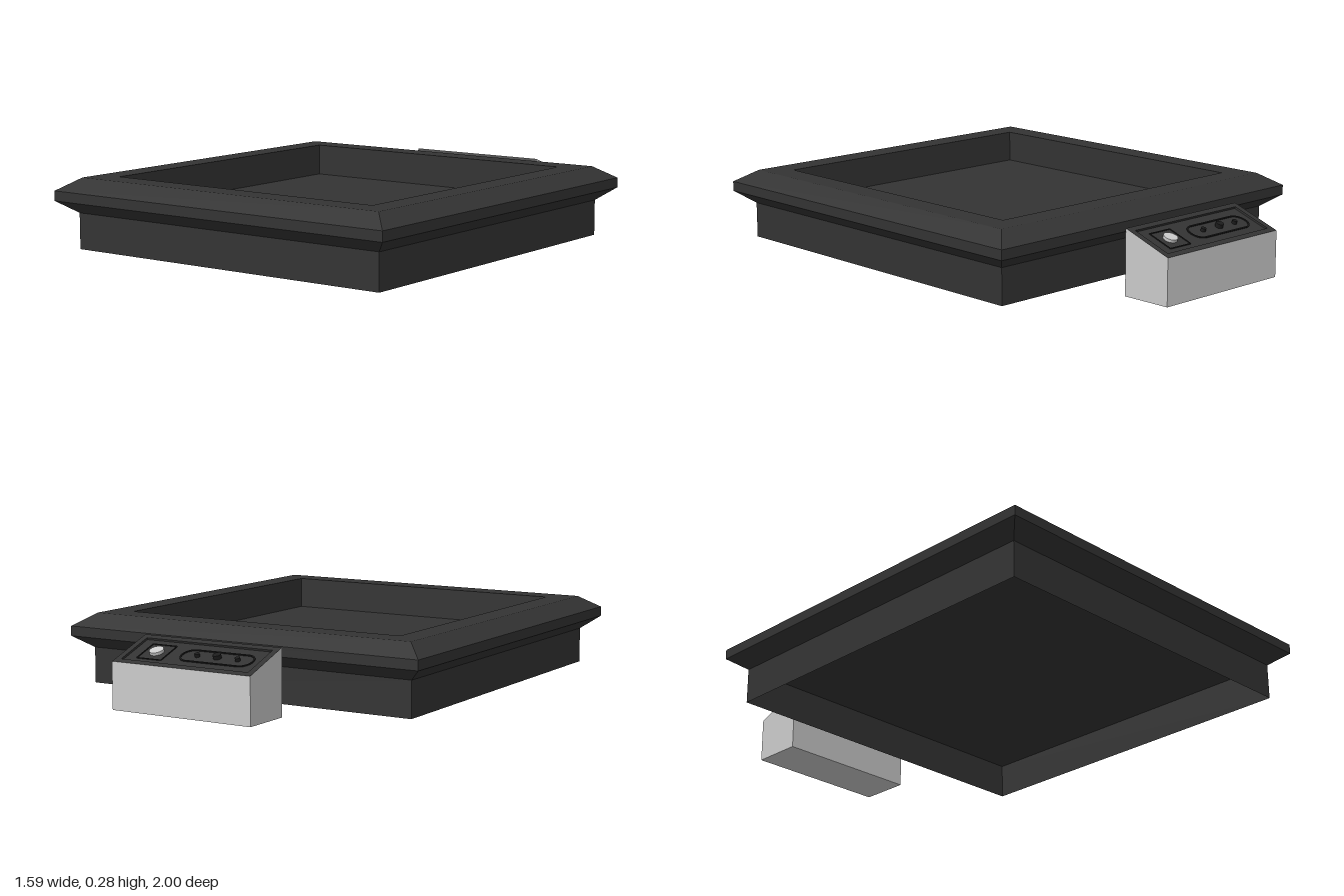
import * as THREE from 'three';

const dark = new THREE.MeshStandardMaterial({ color: 0x333333, flatShading: true, side: THREE.DoubleSide });
const black = new THREE.MeshStandardMaterial({ color: 0x1c1c1c });
const grey = new THREE.MeshStandardMaterial({ color: 0xcccccc });

function add(parent, name, geometry, material, x = 0, y = 0, z = 0) {
  const mesh = new THREE.Mesh(geometry, material);
  mesh.name = name;
  mesh.position.set(x, y, z);
  parent.add(mesh);
  return mesh;
}

// Mitred rectangular loft; each section is [halfWidth, halfDepth, y]
function rectLoft(sections) {
  const pos = [];
  const corner = ([w, d, y], k) => [[w, y, d], [w, y, -d], [-w, y, -d], [-w, y, d]][k % 4];
  for (let i = 0; i < sections.length - 1; i++) {
    for (let k = 0; k < 4; k++) {
      const a = corner(sections[i], k), b = corner(sections[i], k + 1);
      const c = corner(sections[i + 1], k + 1), d = corner(sections[i + 1], k);
      pos.push(...a, ...b, ...c, ...a, ...c, ...d);
    }
  }
  const g = new THREE.BufferGeometry();
  g.setAttribute('position', new THREE.Float32BufferAttribute(pos, 3));
  g.computeVertexNormals();
  return g;
}

function roundRect(target, w, h, r) {
  const x = w / 2 - r, y = h / 2 - r;
  target.absarc(x, y, r, 0, Math.PI / 2);
  target.absarc(-x, y, r, Math.PI / 2, Math.PI);
  target.absarc(-x, -y, r, Math.PI, Math.PI * 1.5);
  target.absarc(x, -y, r, Math.PI * 1.5, Math.PI * 2);
  target.closePath();
  return target;
}

// Flat ring lying in xz, its top at y = 0
function ring(w, h, r, border, innerR, thick) {
  const s = roundRect(new THREE.Shape(), w, h, r);
  s.holes.push(roundRect(new THREE.Path(), w - border * 2, h - border * 2, innerR));
  return new THREE.ExtrudeGeometry(s, { depth: thick, bevelEnabled: false, curveSegments: 10 })
    .rotateX(-Math.PI / 2).translate(0, -thick, 0);
}

function makeTray() {
  const tray = new THREE.Group();
  tray.name = 'tray';
  tray.position.z = 0.18;
  // Skirt, bevelled rim, inner wall and the ledge underneath
  add(tray, 'trayFrame', rectLoft([
    [0.73, 0.75, 0], [0.73, 0.75, 0.145], [0.795, 0.82, 0.195], [0.795, 0.82, 0.235],
    [0.72, 0.74, 0.285], [0.618, 0.638, 0.285], [0.618, 0.638, 0.155], [0.73, 0.75, 0.145],
  ]), dark);
  add(tray, 'trayFloor', new THREE.PlaneGeometry(1.236, 1.276).rotateX(-Math.PI / 2), dark, 0, 0.155, 0);
  return tray;
}

function makeControlBox() {
  const box = new THREE.Group();
  box.name = 'controlBox';

  // Housing with a sloping open top
  const body = new THREE.BoxGeometry(0.62, 0.2225, 0.21);
  body.translate(0, 0.11125, 0);
  const p = body.attributes.position;
  for (let i = 0; i < p.count; i++) {
    if (p.getY(i) > 0.1) p.setY(i, p.getZ(i) > 0 ? 0.26 : 0.185);
  }
  const index = Array.from(body.index.array);
  index.splice(12, 6);
  body.setIndex(index);
  body.clearGroups();
  body.computeVertexNormals();
  add(box, 'housing', body, grey);

  // Tilted control panel
  const panel = new THREE.Group();
  panel.name = 'controlPanel';
  panel.position.y = 0.2225;
  panel.rotation.x = -Math.atan2(0.075, 0.21);
  box.add(panel);
  add(panel, 'panelRim', ring(0.619, 0.222, 0.001, 0.025, 0.001, 0.012), dark);
  add(panel, 'panelPlate', new THREE.PlaneGeometry(0.6, 0.21).rotateX(-Math.PI / 2), dark, 0, -0.008, 0);

  // Pill-shaped button surround with three buttons
  add(panel, 'buttonSurround', ring(0.32, 0.09, 0.044, 0.006, 0.038, 0.006), black, -0.093, -0.004, 0);
  [-0.185, -0.095, -0.005].forEach((x, i) => {
    const r = i === 1 ? 0.016 : 0.01;
    add(panel, 'button', new THREE.CylinderGeometry(r, r, 0.016, 20), black, x, i === 1 ? 0.002 : -0.003, 0);
  });

  // Indicator in a square surround
  add(panel, 'indicatorSurround', ring(0.115, 0.115, 0.004, 0.004, 0.002, 0.004), black, 0.18, -0.005, 0);
  add(panel, 'indicator', new THREE.CylinderGeometry(0.028, 0.028, 0.012, 28), grey, 0.18, -0.002, 0);
  return box;
}

export function createModel() {
  const model = new THREE.Group();
  model.name = 'trayWithControlBox';
  const box = makeControlBox();
  box.position.z = -0.895;
  model.add(makeTray(), box);
  return model;
}
